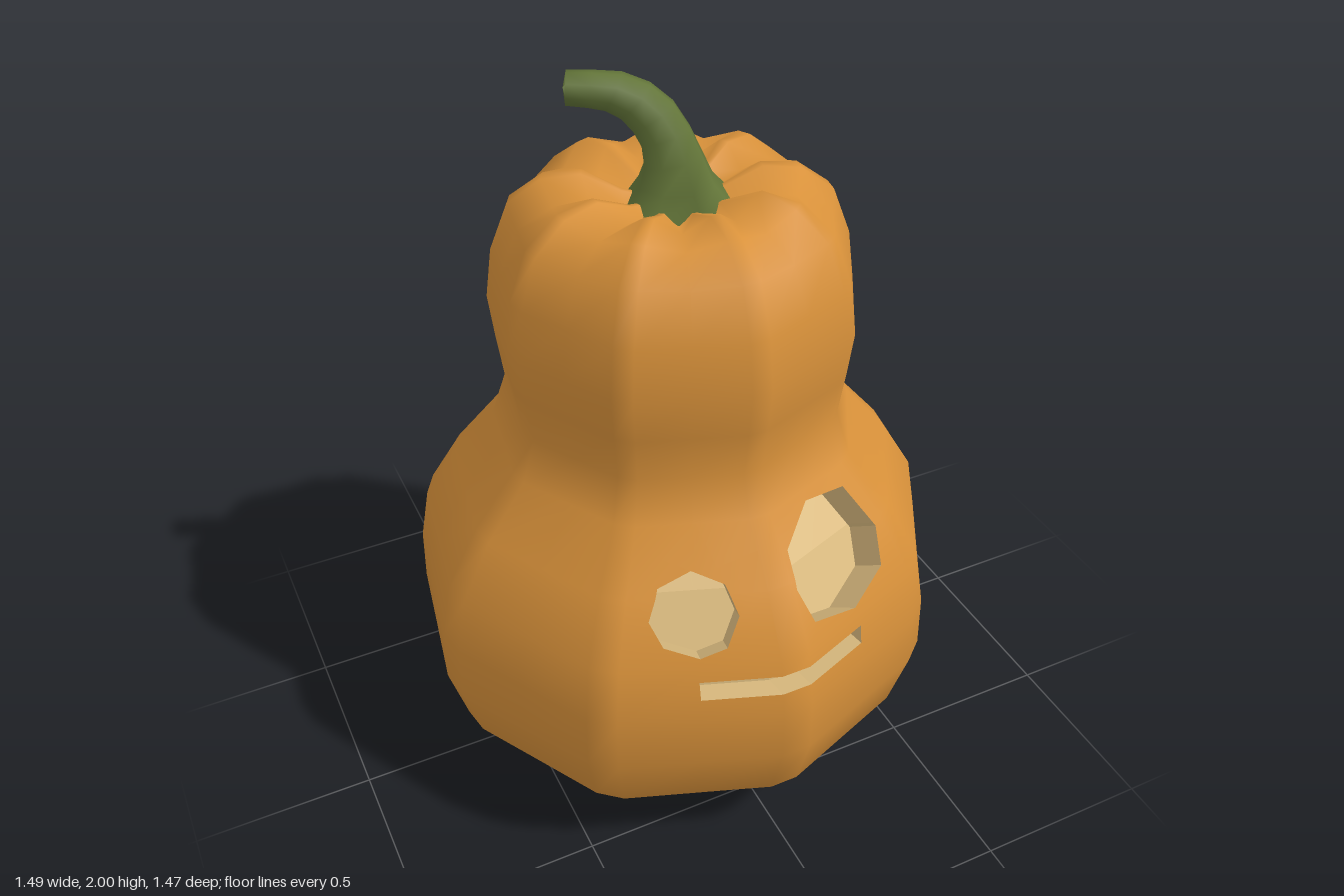
import * as THREE from 'three';

const mat = (name, color, side = THREE.FrontSide) => {
  const m = new THREE.MeshStandardMaterial({ color, side });
  m.name = name;
  return m;
};

// Profile rows: ridge radius, height, groove radius factor, groove height shift
const PROFILE = [
  [0, 0.1, 1, 0], [0.14, 0.06, 0.95, 0.02], [0.3, 0, 0.95, 0.04], [0.47, 0.025, 0.955, 0.035],
  [0.6, 0.1, 0.957, 0.012], [0.7, 0.22, 0.957, 0], [0.75, 0.4, 0.957, 0], [0.745, 0.56, 0.957, 0],
  [0.715, 0.72, 0.957, 0], [0.62, 0.88, 0.957, 0], [0.5, 1.02, 0.957, 0], [0.46, 1.14, 0.957, 0],
  [0.477, 1.27, 0.957, 0], [0.49, 1.39, 0.957, 0], [0.47, 1.53, 0.957, 0], [0.42, 1.66, 0.95, -0.01],
  [0.33, 1.73, 0.93, -0.03], [0.23, 1.745, 0.92, -0.05], [0.13, 1.7, 0.95, -0.03], [0, 1.68, 1, 0],
];
const LOBES = 9;

// Carved openings: counter-clockwise front outline and the inward push of the floor
const HOLES = [
  {
    name: 'rightEyeRecess', push: [0.028, -0.055, -0.078],
    outline: [[-0.33, 0.83], [-0.31, 0.77], [-0.23, 0.74], [-0.16, 0.76], [-0.115, 0.83],
      [-0.13, 0.9], [-0.2, 0.93], [-0.29, 0.9]],
  },
  {
    name: 'leftEyeRecess', push: [-0.028, -0.055, -0.078],
    outline: [[0.045, 0.86], [0.08, 0.77], [0.22, 0.735], [0.34, 0.78], [0.35, 0.87],
      [0.28, 0.98], [0.15, 1.0], [0.05, 0.94]],
  },
  {
    name: 'mouthRecess', push: [0, -0.018, -0.075],
    outline: [[-0.24, 0.62], [0.235, 0.62], [0.235, 0.675], [-0.24, 0.675]],
  },
];

// Lofted body with nine rounded lobes
function lobedBody() {
  const pos = [], index = [], cols = LOBES * 3;
  for (const [r, y, gr, gy] of PROFILE) {
    for (let k = 0; k < LOBES; k++) {
      for (const [deg, f, dy] of [[-3.2, 1, 0], [3.2, 1, 0], [20, gr, gy]]) {
        const a = THREE.MathUtils.degToRad(90 + k * 40 + deg);
        pos.push(Math.cos(a) * r * f, y + dy, Math.sin(a) * r * f - 0.01);
      }
    }
  }
  for (let i = 0; i < PROFILE.length - 1; i++) {
    for (let j = 0; j < cols; j++) {
      const n = (j + 1) % cols;
      const a = i * cols + j, b = a + cols, c = i * cols + n, d = c + cols;
      if (i > 0) index.push(a, b, c);
      if (i < PROFILE.length - 2) index.push(b, d, c);
      if (i === 0) index.push(b, d, a);
      if (i === PROFILE.length - 2) index.push(a, b, c);
    }
  }
  // Drop repeated end triangles
  const seen = new Set(), clean = [];
  for (let i = 0; i < index.length; i += 3) {
    const t = index.slice(i, i + 3), key = t.join();
    const last = i >= index.length - cols * 6 ? 'end' : '';
    if (!seen.has(key + last)) clean.push(...t);
    seen.add(key + last);
  }
  const g = new THREE.BufferGeometry();
  g.setAttribute('position', new THREE.Float32BufferAttribute(pos, 3));
  g.setIndex(clean);
  g.computeVertexNormals();
  return g;
}

// Signed side of p against the front-plane line a-b
const side = (p, a, b) => (b[0] - a[0]) * (p[1] - a[1]) - (b[1] - a[1]) * (p[0] - a[0]);

// Keep the part of a polygon on one side of the line; corners carry position and normal
function clip(poly, a, b, sign) {
  const out = [];
  poly.forEach((p, i) => {
    const q = poly[(i + 1) % poly.length];
    const sp = side(p, a, b) * sign, sq = side(q, a, b) * sign;
    if (sp >= 0) out.push(p);
    if ((sp > 0 && sq < 0) || (sp < 0 && sq > 0)) {
      const t = sp / (sp - sq);
      out.push(p.map((v, k) => v + (q[k] - v) * t));
    }
  });
  return out.length > 2 ? out : [];
}

// Split a polygon into pieces outside a convex outline and the piece inside it
function carve(poly, outline) {
  const outside = [];
  let inside = poly;
  for (let i = 0; i < outline.length && inside.length; i++) {
    const a = outline[i], b = outline[(i + 1) % outline.length];
    const rest = clip(inside, a, b, -1);
    inside = clip(inside, a, b, 1);
    if (rest.length) outside.push(rest);
  }
  return inside.length ? { outside, inside } : { outside: [poly], inside };
}

function fromPolys(polys, smooth) {
  const pos = [], nor = [];
  for (const p of polys) {
    for (let i = 1; i < p.length - 1; i++) {
      for (const v of [p[0], p[i], p[i + 1]]) {
        pos.push(v[0], v[1], v[2]);
        if (smooth) nor.push(v[3], v[4], v[5]);
      }
    }
  }
  const g = new THREE.BufferGeometry();
  g.setAttribute('position', new THREE.Float32BufferAttribute(pos, 3));
  if (smooth) g.setAttribute('normal', new THREE.Float32BufferAttribute(nor, 3));
  else g.computeVertexNormals();
  return g;
}

// Bent stem: a tube whose rings flare at the base and close at the tip
function stemGeometry() {
  const path = new THREE.CatmullRomCurve3([
    [0.01, 1.67, -0.01], [0.005, 1.77, -0.015], [-0.02, 1.87, -0.05], [-0.09, 1.94, -0.095], [-0.225, 1.96, -0.155],
  ].map((p) => new THREE.Vector3(...p)));
  const radii = [0.145, 0.1, 0.078, 0.068, 0.064, 0.058, 0.052, 0.046, 0.043, 0];
  const n = radii.length - 1, sides = 8;
  const g = new THREE.TubeGeometry(path, n, 1, sides, false);
  const p = g.attributes.position, v = new THREE.Vector3();
  for (let i = 0; i <= n; i++) {
    const c = path.getPointAt(i === n ? 1 : Math.min(1, (i / (n - 1)) * 0.985));
    const old = path.getPointAt(i / n);
    for (let j = 0; j <= sides; j++) {
      const k = i * (sides + 1) + j;
      v.fromBufferAttribute(p, k).sub(old).multiplyScalar(radii[i]).add(c);
      p.setXYZ(k, v.x, v.y, v.z);
    }
  }
  const normals = g.attributes.normal.clone();
  g.computeVertexNormals();
  // Keep the tube's seam smooth
  for (let i = 0; i <= n; i++) {
    for (const j of [0, sides]) {
      const k = i * (sides + 1) + j;
      g.attributes.normal.setXYZ(k, normals.getX(k), normals.getY(k), normals.getZ(k));
    }
  }
  return g;
}

export function createModel() {
  const skin = mat('orangeSkin', 0xd8913a);
  const flesh = mat('creamFlesh', 0xdcbc80, THREE.DoubleSide);
  const green = mat('stemGreen', 0x627438);
  const group = new THREE.Group();
  const add = (name, geometry, material) => {
    const m = new THREE.Mesh(geometry, material);
    m.name = name;
    group.add(m);
  };

  // Skin with the face cut out of the front triangles
  const body = lobedBody().toNonIndexed();
  const P = body.attributes.position, N = body.attributes.normal;
  const pieces = [], floors = HOLES.map(() => []);
  for (let i = 0; i < P.count; i += 3) {
    const tri = [i, i + 1, i + 2].map((k) =>
      [P.getX(k), P.getY(k), P.getZ(k), N.getX(k), N.getY(k), N.getZ(k)]);
    let polys = [tri];
    if (tri.every((v) => v[2] > 0.1 && v[1] > 0.3 && v[1] < 1.2)) {
      HOLES.forEach((h, n) => {
        polys = polys.flatMap((poly) => {
          const { outside, inside } = carve(poly, h.outline);
          if (inside.length) floors[n].push(inside);
          return outside;
        });
      });
    }
    pieces.push(...polys);
  }
  add('body', fromPolys(pieces, true), skin);

  // Recess floors and side walls
  HOLES.forEach(({ name, outline, push }, n) => {
    const sink = (v) => push.map((d, k) => v[k] + d);
    const polys = floors[n].map((f) => f.map(sink));
    for (const f of floors[n]) {
      f.forEach((p, i) => {
        const q = f[(i + 1) % f.length];
        const onRim = outline.some((a, k) => {
          const b = outline[(k + 1) % outline.length];
          return Math.abs(side(p, a, b)) < 1e-7 && Math.abs(side(q, a, b)) < 1e-7;
        });
        if (onRim) polys.push([q, p, sink(p), sink(q)]);
      });
    }
    add(name, fromPolys(polys, false), flesh);
  });

  add('stem', stemGeometry(), green);
  return group;
}
